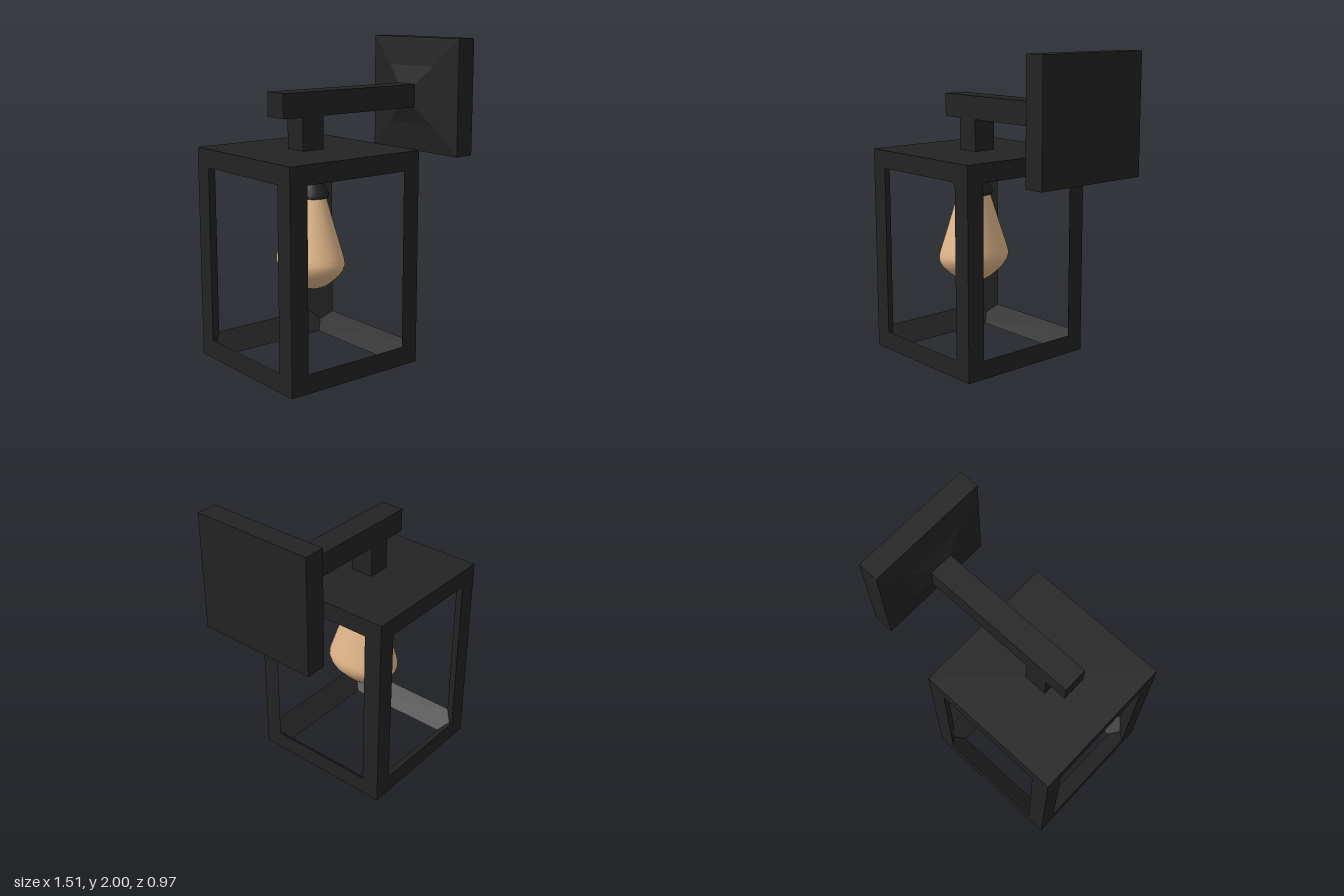
import * as THREE from 'three';

const black = new THREE.MeshStandardMaterial({ color: 0x232323, flatShading: true });
const blackSmooth = new THREE.MeshStandardMaterial({ color: 0x232323, side: THREE.DoubleSide });
const amber = new THREE.MeshStandardMaterial({ color: 0xdeb488, side: THREE.DoubleSide });

function add(parent, name, geometry, material, x = 0, y = 0, z = 0) {
  const mesh = new THREE.Mesh(geometry, material);
  mesh.name = name;
  mesh.position.set(x, y, z);
  parent.add(mesh);
  return mesh;
}

// Box given by its minimum and maximum corners
function addBox(parent, name, a, b) {
  const size = b.map((v, i) => v - a[i]);
  const mid = b.map((v, i) => (v + a[i]) / 2);
  return add(parent, name, new THREE.BoxGeometry(...size), black, ...mid);
}

const profile = (pts) => pts.map(([r, y]) => new THREE.Vector2(r, y));

// Triangular bar: right-angled section with the long face turned inward
function triangularBar(thickness, length) {
  const section = new THREE.Shape(profile([[0, 0], [thickness, 0], [0, thickness]]));
  return new THREE.ExtrudeGeometry(section, { depth: length, bevelEnabled: false });
}

export function createModel() {
  const model = new THREE.Group();
  model.name = 'wallLantern';

  // Open cage: four posts, four bottom rails and a solid roof
  const half = 0.483, top = 1.345, bar = 0.12;
  const cage = new THREE.Group();
  cage.name = 'cage';
  cage.position.x = -0.272;
  model.add(cage);
  for (let i = 0; i < 4; i++) {
    const side = new THREE.Group();
    side.name = 'cageSide';
    side.rotation.y = i * Math.PI / 2;
    add(side, 'post', triangularBar(bar, top - 0.05).rotateX(-Math.PI / 2), black, -half, 0, half);
    add(side, 'bottomRail', triangularBar(bar, 2 * half).rotateY(Math.PI / 2), black, -half, 0, half);
    cage.add(side);
  }
  addBox(cage, 'roof', [-half, 1.228, -half], [half, top, half]);

  // Stem and arm
  addBox(model, 'stem', [-0.36, 1.33, -0.078], [-0.205, 1.56, 0.078]);
  addBox(model, 'arm', [-0.505, 1.55, -0.08], [0.56, 1.7, 0.08]);

  // Wall plate with a stepped square flare
  addBox(model, 'wallPlate', [0.622, 1.25, -0.4], [0.755, 2, 0.4]);
  const rings = [[0.375, 0], [0.19, 0.034], [0.075, 0.077]].map(([r, y]) => [r * Math.SQRT2, y]);
  const flare = new THREE.LatheGeometry(profile(rings), 4)
    .rotateY(Math.PI / 4).scale(1, 1, 1.067).rotateZ(Math.PI / 2);
  add(model, 'plateFlare', flare, black, 0.622, 1.625, 0);

  // Oval lamp holder and bulb hanging from the roof
  const lamp = new THREE.Group();
  lamp.name = 'lamp';
  lamp.position.set(-0.278, 0, 0.033);
  model.add(lamp);
  const disc = new THREE.CylinderGeometry(0.105, 0.105, 0.035, 32).scale(1, 1, 1.2);
  add(lamp, 'ceilingDisc', disc, black, 0, 1.2175, 0);
  const holder = new THREE.LatheGeometry(profile([
    [0, 1.05], [0.08, 1.05], [0.103, 1.056], [0.106, 1.08], [0.07, 1.155], [0.064, 1.17], [0.064, 1.21],
  ]), 32).scale(1, 1, 1.27);
  add(lamp, 'lampHolder', holder, blackSmooth);
  const bulb = new THREE.LatheGeometry(profile([
    [0, 0.48], [0.04, 0.48], [0.068, 0.487], [0.095, 0.505], [0.13, 0.54], [0.165, 0.582],
    [0.18, 0.61], [0.187, 0.64], [0.186, 0.665], [0.178, 0.7], [0.14, 0.845], [0.086, 1.06],
  ]), 48).scale(1, 1, 1.36);
  add(lamp, 'bulb', bulb, amber);

  return model;
}
